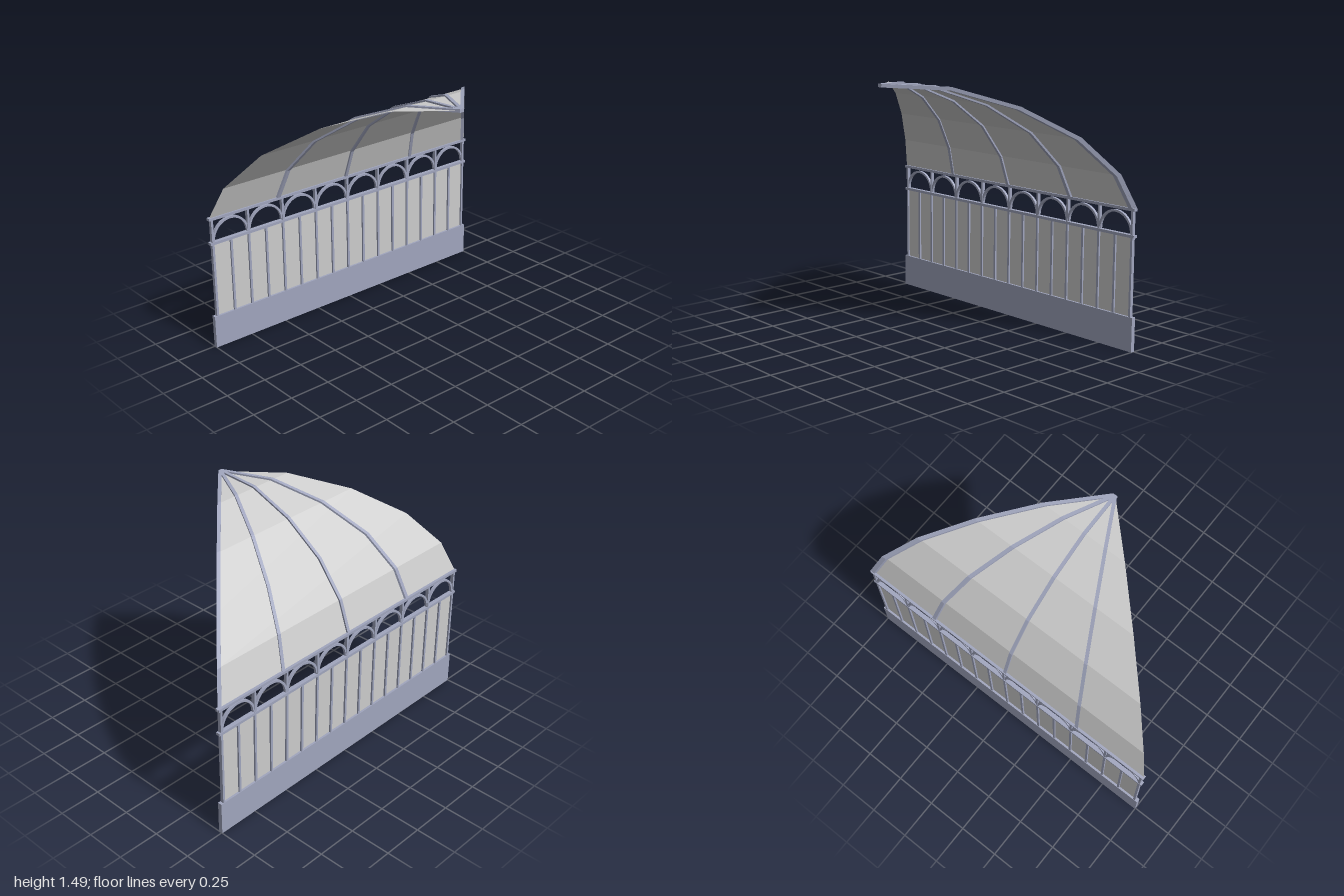
import * as THREE from 'three';

const frameMat = new THREE.MeshStandardMaterial({ color: 0xa0a5bd, flatShading: true });
const glassMat = new THREE.MeshStandardMaterial({ color: 0xcccccc, flatShading: true, side: THREE.DoubleSide });

const WALL_X = -0.492, APEX_X = 0.5, BAY = 0.244;
// Roof profile in x, y from the eave to the apex
const profile = [[-0.492, 0.81], [-0.425, 1.0], [-0.27, 1.2], [-0.037, 1.365], [0.227, 1.468], [APEX_X, 1.483]]
  .map(([x, y]) => new THREE.Vector2(x, y));

function add(parent, name, geometry, material = frameMat) {
  const mesh = new THREE.Mesh(geometry, material);
  mesh.name = name;
  parent.add(mesh);
  return mesh;
}

function box(parent, name, depth, y0, y1, width, z = 0) {
  add(parent, name, new THREE.BoxGeometry(depth, y1 - y0, width)).position.set(WALL_X, (y0 + y1) / 2, z);
}

// Roof glazing: one strip per facet, narrowing to the apex
function roofGlass() {
  const pos = [], index = [];
  profile.forEach((p, i) => {
    const half = APEX_X - p.x;
    pos.push(p.x, p.y, -half, p.x, p.y, half);
    if (i) {
      const a = 2 * i - 2;
      index.push(a, a + 1, a + 3);
      if (i < profile.length - 1) index.push(a, a + 3, a + 2);
    }
  });
  const g = new THREE.BufferGeometry();
  g.setAttribute('position', new THREE.Float32BufferAttribute(pos, 3));
  g.setIndex(index);
  g.computeVertexNormals();
  return g;
}

// Rib: a band along the profile, sheared sideways so that it meets the apex
function ribGeometry(slope) {
  const t = 0.01, outer = [], inner = [];
  profile.forEach((p, i) => {
    const a = profile[Math.max(i - 1, 0)], b = profile[Math.min(i + 1, profile.length - 1)];
    const d = b.clone().sub(a).normalize();
    const n = new THREE.Vector2(-d.y, d.x).multiplyScalar(t);
    outer.push(p.clone().add(n));
    inner.unshift(p.clone().sub(n));
  });
  const width = 0.02 * Math.hypot(1, slope);
  const g = new THREE.ExtrudeGeometry(new THREE.Shape([...outer, ...inner]), { depth: width, bevelEnabled: false });
  g.translate(0, 0, -width / 2);
  const pos = g.attributes.position;
  for (let i = 0; i < pos.count; i++) pos.setZ(i, pos.getZ(i) + slope * (APEX_X - pos.getX(i)));
  g.computeVertexNormals();
  return g;
}

// Arch: a thin half ring standing in the wall plane
function archGeometry() {
  const outer = 0.122, inner = 0.109, depth = 0.016;
  const s = new THREE.Shape();
  s.absarc(0, 0, outer, 0, Math.PI, false);
  s.absarc(0, 0, inner, Math.PI, 0, true);
  const g = new THREE.ExtrudeGeometry(s, { depth, bevelEnabled: false, curveSegments: 16 });
  return g.translate(0, 0, -depth / 2).rotateY(Math.PI / 2);
}

export function createModel() {
  const model = new THREE.Group();
  model.name = 'glasshouseSection';

  // Wall: plinth, rails and glazing
  const wall = new THREE.Group();
  wall.name = 'wall';
  model.add(wall);
  box(wall, 'plinth', 0.026, 0, 0.2, 2);
  box(wall, 'middleRail', 0.026, 0.652, 0.668, 1.99);
  box(wall, 'eaveRail', 0.026, 0.802, 0.818, 1.99);
  const pane = add(wall, 'wallGlass', new THREE.PlaneGeometry(1.95, 0.46).rotateY(Math.PI / 2), glassMat);
  pane.position.set(WALL_X, 0.43, 0);

  // Mullions: every second one reaches the eave
  for (let i = -8; i <= 8; i++) {
    box(wall, 'mullion', 0.021, 0.2, i % 2 ? 0.66 : 0.81, 0.014, i * BAY / 2);
  }

  // Row of arches below the eave
  const arch = archGeometry();
  for (let i = 0; i < 8; i++) {
    add(wall, 'arch', arch).position.set(WALL_X, 0.672, (i - 3.5) * BAY);
  }

  // Roof: glazing and four ribs, the far edge being left open
  const roof = new THREE.Group();
  roof.name = 'roof';
  model.add(roof);
  add(roof, 'roofGlass', roofGlass(), glassMat);
  for (const slope of [-0.985, -0.515, 0.01, 0.525]) add(roof, 'rib', ribGeometry(slope));

  return model;
}
